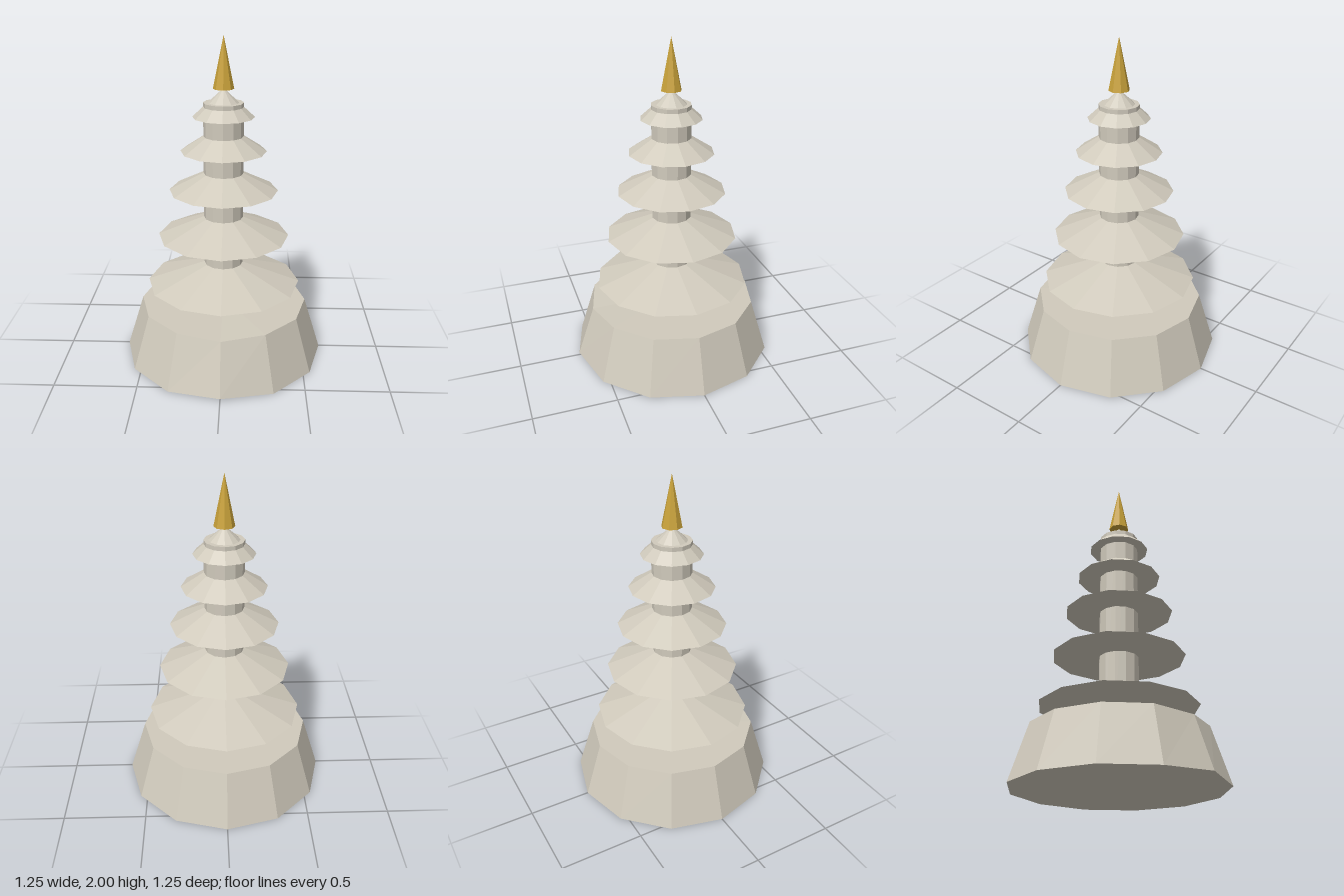
import * as THREE from 'three';

export function createModel() {
  const stone = new THREE.MeshStandardMaterial({ color: 0xd0cabc, flatShading: true });
  stone.name = 'pale stone';
  const gold = new THREE.MeshStandardMaterial({ color: 0xc9a23a, flatShading: true });
  gold.name = 'gold';

  const model = new THREE.Group();
  model.name = 'pagoda';

  // Adds a faceted, closed cylinder or cone standing on height y
  function addTier(name, topRadius, bottomRadius, y, height, sides, material) {
    const geometry = new THREE.CylinderGeometry(topRadius, bottomRadius, height, sides);
    geometry.translate(0, y + height / 2, 0);
    const mesh = new THREE.Mesh(geometry, material);
    mesh.name = name;
    model.add(mesh);
    return mesh;
  }

  // Tapered twelve-sided base, its front corners slightly worn
  const base = addTier('base', 0.52, 0.625, 0, 0.34, 12, stone);
  const corners = base.geometry.attributes.position;
  for (let i = 0; i < corners.count; i++) {
    if (corners.getZ(i) > 0.5 && Math.abs(corners.getX(i)) < 0.05) {
      corners.setY(i, corners.getY(i) < 0.1 ? 0.015 : 0.33);
    }
  }

  // Central tower
  addTier('tower', 0.12, 0.12, 0.33, 1.285, 12, stone);

  // Five roofs, narrowing upwards
  const roofs = [[0.475, 0.472], [0.402, 0.785], [0.33, 1.077], [0.258, 1.323], [0.185, 1.53]];
  roofs.forEach(([radius, y], i) => addTier(`roof${i + 1}`, 0, radius, y, 0.17, 12, stone));

  // Gilded spire
  addTier('spire', 0, 0.062, 1.695, 0.305, 8, gold);

  return model;
}
